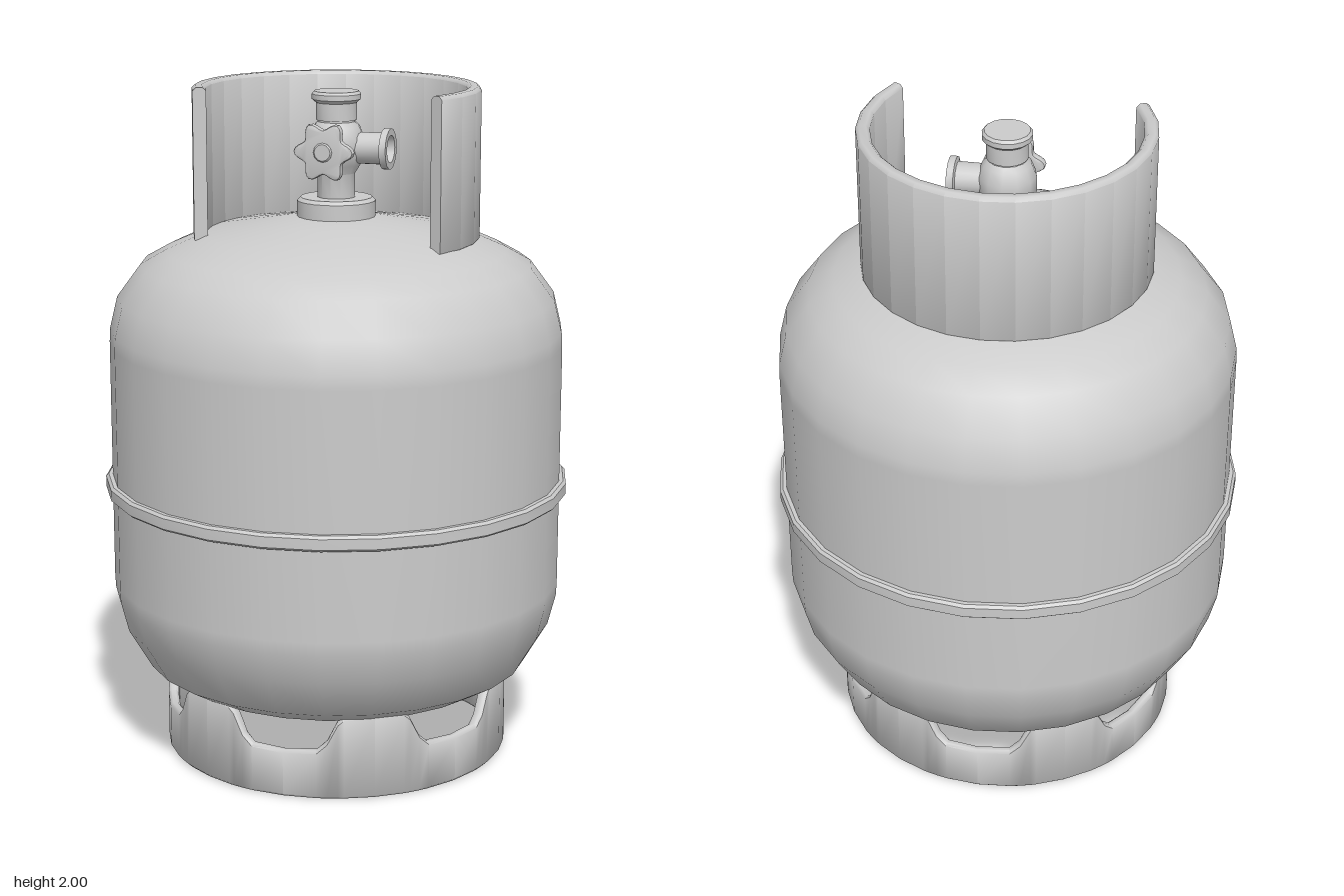
import * as THREE from 'three';
import { toCreasedNormals } from 'three/addons/utils/BufferGeometryUtils.js';

const material = new THREE.MeshStandardMaterial({ color: 0xcccccc });

function addPart(group, name, geometry, crease = 0.7) {
  const mesh = new THREE.Mesh(crease ? toCreasedNormals(geometry, crease) : geometry, material);
  mesh.name = name;
  group.add(mesh);
  return mesh;
}

// Profile points are [radius, height], listed from bottom to top
const lathe = (profile, segments) =>
  new THREE.LatheGeometry(profile.map(([r, y]) => new THREE.Vector2(r, y)), segments);

// Rectangular wall section with bevelled corners, as [radius, height] pairs
function wallSection(inner, outer, bottom, top, bevel) {
  const b = bevel;
  return [
    [inner + b, bottom], [outer - b, bottom], [outer, bottom + b], [outer, top - b],
    [outer - b, top], [inner + b, top], [inner, top - b], [inner, bottom + b],
  ];
}

// Sweeps sections around the y axis; angle 0 faces +z
function sweepWall(angles, sectionAt, closed) {
  const positions = [], index = [];
  const n = sectionAt(angles[0], 0).length;
  angles.forEach((a, i) => sectionAt(a, i).forEach(([r, y]) =>
    positions.push(r * Math.sin(a), y, r * Math.cos(a))));
  const count = angles.length;
  for (let i = 0; i < (closed ? count : count - 1); i++) {
    for (let j = 0; j < n; j++) {
      const k = (j + 1) % n, next = (i + 1) % count;
      const a = i * n + j, b = next * n + j, c = next * n + k, d = i * n + k;
      index.push(a, b, c, a, c, d);
    }
  }
  if (!closed) {
    const last = (count - 1) * n;
    for (let j = 1; j < n - 1; j++) {
      index.push(0, j, j + 1, last, last + j + 1, last + j);
    }
  }
  const geometry = new THREE.BufferGeometry();
  geometry.setAttribute('position', new THREE.Float32BufferAttribute(positions, 3));
  geometry.setIndex(index);
  geometry.computeVertexNormals();
  return geometry;
}

function createFootRing(group) {
  // One notch and one tab, repeated six times: [degrees, top height]
  const pattern = [
    [-11, 0.147], [0, 0.142], [11, 0.147], [14.5, 0.175],
    [18, 0.235], [20, 0.25], [30, 0.253], [40, 0.25], [42, 0.235], [45.5, 0.175],
  ];
  const angles = [], tops = [];
  for (let k = 0; k < 6; k++) {
    for (const [degrees, top] of pattern) {
      angles.push(THREE.MathUtils.degToRad(degrees + k * 60));
      tops.push(top);
    }
  }
  const geometry = sweepWall(angles, (a, i) => wallSection(0.485, 0.515, 0, tops[i], 0.008), true);
  addPart(group, 'footRing', geometry, 0.8);
}

function createCollar(group) {
  // Guard open towards the front
  const start = THREE.MathUtils.degToRad(61.5), steps = 18;
  const sweep = 2 * Math.PI - 2 * start;
  const angles = Array.from({ length: steps + 1 }, (_, i) => start + (sweep * i) / steps);
  const geometry = sweepWall(angles, () => wallSection(0.38, 0.42, 1.55, 2, 0.01), false);
  addPart(group, 'collar', geometry, 0.8);
}

function createValve() {
  const valve = new THREE.Group();
  valve.name = 'valve';
  const height = 1.82;

  addPart(valve, 'valveBase', lathe([
    [0.115, 1.59], [0.115, 1.665], [0.105, 1.675], [0.055, 1.675],
  ], 20));
  addPart(valve, 'valveBody', lathe([
    [0.056, 1.66], [0.056, 1.745], [0.072, 1.77], [0.084, 1.8], [0.084, 1.845],
    [0.07, 1.88], [0.056, 1.895], [0.056, 1.91],
  ], 12));
  addPart(valve, 'valveCap', lathe([
    [0, 1.9], [0.06, 1.9], [0.06, 1.95], [0.072, 1.96], [0.072, 1.975], [0.065, 1.983], [0, 1.983],
  ], 16));

  // Hollow outlet pointing to the side
  const outlet = addPart(valve, 'outlet', lathe([
    [0.046, 0], [0.046, 0.142], [0.06, 0.145], [0.06, 0.165], [0.04, 0.165], [0.036, 0.1], [0, 0.1],
  ], 16));
  outlet.rotation.z = -Math.PI / 2;
  outlet.position.y = height;

  // Lobed handwheel on a short spindle
  const outline = [];
  for (let i = 0; i < 48; i++) {
    const a = (i / 48) * Math.PI * 2;
    const r = 0.077 + 0.013 * Math.cos(6 * a);
    outline.push(new THREE.Vector2(r * Math.cos(a), r * Math.sin(a)));
  }
  const wheel = addPart(valve, 'handwheel', new THREE.ExtrudeGeometry(new THREE.Shape(outline), {
    depth: 0.012, bevelEnabled: true, bevelThickness: 0.008, bevelSize: 0.008,
    bevelOffset: -0.008, bevelSegments: 2,
  }));
  wheel.position.set(0, height, 0.112);
  const spindle = addPart(valve, 'spindle', lathe([
    [0.022, 0], [0.022, 0.11], [0.028, 0.11], [0.028, 0.133], [0.024, 0.137], [0, 0.137],
  ], 12));
  spindle.rotation.x = Math.PI / 2;
  spindle.position.y = height;
  return valve;
}

export function createModel() {
  const model = new THREE.Group();
  model.name = 'gasCylinder';

  // Pressure vessel with domed ends
  addPart(model, 'tank', lathe([
    [0, 0.17], [0.2, 0.175], [0.4, 0.2], [0.5, 0.236], [0.575, 0.28], [0.645, 0.4], [0.668, 0.49],
    [0.67, 0.53], [0.67, 0.82], [0.67, 1.25], [0.668, 1.29], [0.645, 1.385], [0.575, 1.48],
    [0.5, 1.522], [0.39, 1.57], [0.2, 1.603], [0.11, 1.62], [0, 1.622],
  ], 26), 0);

  // Weld band around the middle
  addPart(model, 'weldBand', lathe([
    [0.66, 0.8], [0.682, 0.8], [0.69, 0.807], [0.69, 0.838], [0.682, 0.846], [0.66, 0.846],
  ], 26));

  createFootRing(model);
  createCollar(model);
  model.add(createValve());
  return model;
}
